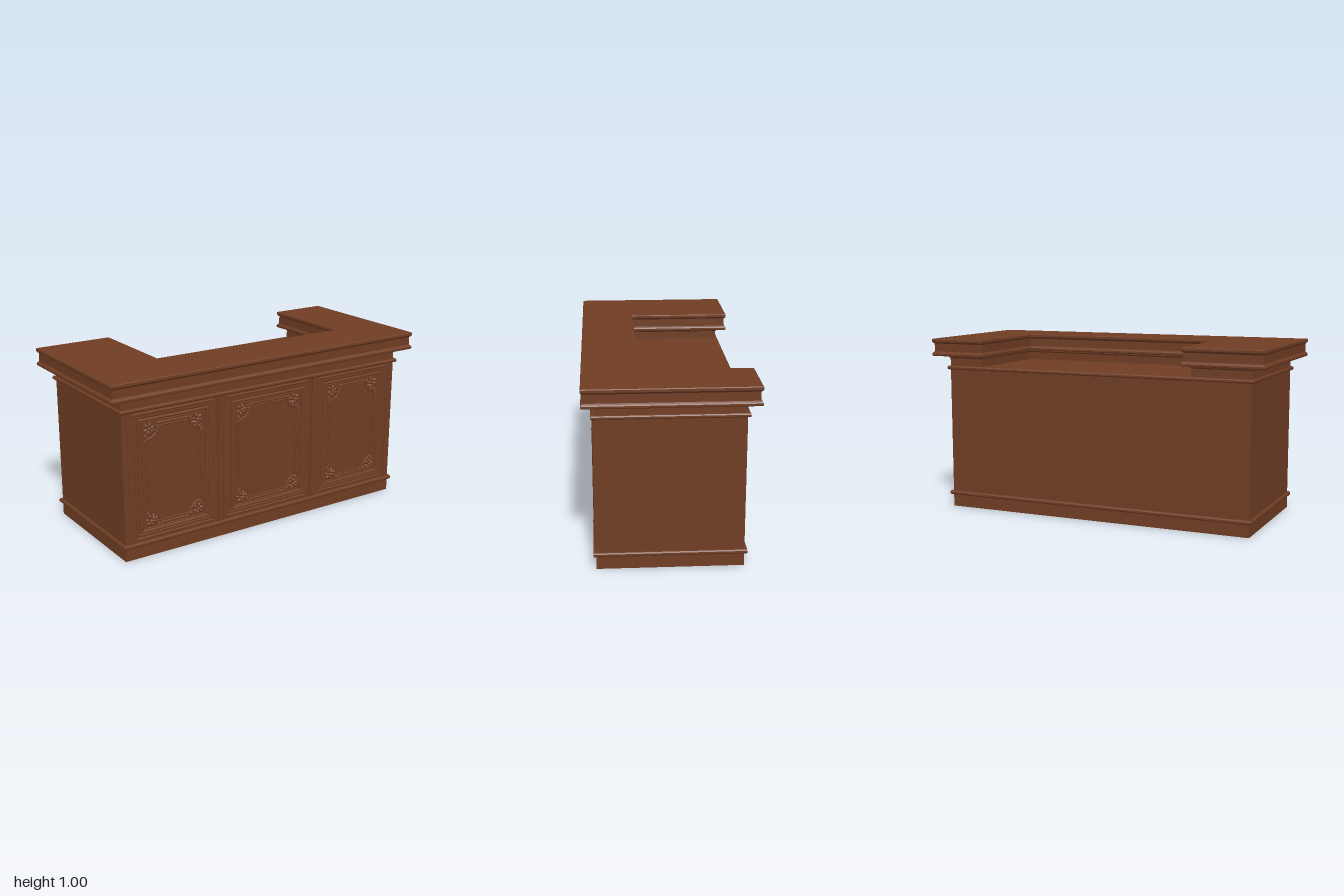
import * as THREE from 'three';

const wood = new THREE.MeshStandardMaterial({ color: 0x6f3d23 });
wood.name = 'brownWood';

// Plan outlines as [x, z] corners, counter-clockwise seen from above
const rect = (hx, hz) => d => [
  [hx - d, hz - d], [hx - d, -hz + d], [-hx + d, -hz + d], [-hx + d, hz - d],
];
const uShape = (hx, hz, innerRight, innerLeft, innerFront) => d => [
  [hx - d, hz - d], [hx - d, -hz + d], [innerRight + d, -hz + d], [innerRight + d, innerFront + d],
  [innerLeft - d, innerFront + d], [innerLeft - d, -hz + d], [-hx + d, -hz + d], [-hx + d, hz - d],
];

// Sweeps a profile of [inset, height] points around an outline
function sweep(outline, profile, capped) {
  const rings = profile.map(([d, h]) => outline(d).map(([x, z]) => [x, h, z]));
  const pos = [];
  const tri = (a, b, c) => pos.push(...a, ...b, ...c);
  for (let k = 0; k < rings.length - 1; k++) {
    const lo = rings[k], hi = rings[k + 1];
    for (let i = 0; i < lo.length; i++) {
      const j = (i + 1) % lo.length;
      tri(lo[i], lo[j], hi[j]);
      tri(lo[i], hi[j], hi[i]);
    }
  }
  if (capped) {
    const lo = rings[0], hi = rings[rings.length - 1];
    const flat = ring => ring.map(p => new THREE.Vector2(p[0], -p[2]));
    for (const [a, b, c] of THREE.ShapeUtils.triangulateShape(flat(hi), [])) tri(hi[a], hi[b], hi[c]);
    for (const [a, b, c] of THREE.ShapeUtils.triangulateShape(flat(lo), [])) tri(lo[c], lo[b], lo[a]);
  }
  const geo = new THREE.BufferGeometry();
  geo.setAttribute('position', new THREE.Float32BufferAttribute(pos, 3));
  geo.computeVertexNormals();
  return geo;
}

function add(parent, name, geo, x = 0, y = 0, z = 0) {
  const mesh = new THREE.Mesh(geo, wood);
  mesh.name = name;
  mesh.position.set(x, y, z);
  parent.add(mesh);
  return mesh;
}

// Half-round moulding profile, running over the top edge from outside to inside
function ridge(start, width, height) {
  const points = [];
  for (let i = 0; i <= 6; i++) {
    const a = Math.PI * i / 6;
    points.push([start + width * (1 - Math.cos(a)) / 2, height * Math.sin(a)]);
  }
  return points;
}

const FACE = 0.385;
const blob = new THREE.SphereGeometry(1, 10, 8);

function addBlob(parent, name, x, y, rx, ry, rz, turn = 0) {
  const mesh = add(parent, name, blob, x, y, 0);
  mesh.scale.set(rx, ry, rz);
  mesh.rotation.z = turn;
}

// Carved corner: a flower with scrolls and leaves along both edges
function cornerOrnament() {
  const g = new THREE.Group();
  g.name = 'cornerOrnament';
  const c = -0.03;
  addBlob(g, 'flowerCentre', c, c, 0.011, 0.011, 0.015);
  for (let i = 0; i < 6; i++) {
    const a = i * Math.PI / 3 + Math.PI / 4;
    addBlob(g, 'petal', c + 0.021 * Math.cos(a), c + 0.021 * Math.sin(a), 0.014, 0.009, 0.011, a);
  }
  const scroll = new THREE.TorusGeometry(0.013, 0.004, 6, 16, Math.PI * 1.6);
  for (const swap of [false, true]) {
    const at = (x, y) => swap ? [y, x] : [x, y];
    const turn = swap ? Math.PI / 2 : 0;
    add(g, 'scroll', scroll, ...at(-0.072, -0.014), 0.005).rotation.z = turn;
    addBlob(g, 'bud', ...at(-0.072, -0.014), 0.006, 0.006, 0.01);
    addBlob(g, 'leaf', ...at(-0.1, -0.006), 0.02, 0.007, 0.009, turn);
    addBlob(g, 'leaf', ...at(-0.06, -0.042), 0.014, 0.006, 0.009, swap ? 0.9 : 0.67);
  }
  // Scooped inner border around the flower
  const scoop = add(g, 'cornerScoop', new THREE.TorusGeometry(0.07, 0.004, 6, 14, Math.PI / 2), -0.014, -0.014, 0.002);
  scoop.rotation.z = Math.PI;
  return g;
}

// Framed panel with a carved inner border
function panel(name, x0, x1) {
  const g = new THREE.Group();
  g.name = name;
  const y0 = 0.105, y1 = 0.812;
  const hx = (x1 - x0) / 2, hy = (y1 - y0) / 2;
  g.position.set((x0 + x1) / 2, (y0 + y1) / 2, FACE);

  const frames = [
    ['outerFrame', ridge(0, 0.014, 0.008)],
    ['frameStep', [[0.014, 0], [0.014, 0.004], [0.03, 0.004], [0.034, 0]]],
    ['innerFrame', ridge(0.034, 0.018, 0.011)],
    ['innerLip', ridge(0.053, 0.007, 0.005)],
  ];
  for (const [part, profile] of frames) {
    add(g, part, sweep(rect(hx, hy), profile, false)).rotation.x = Math.PI / 2;
  }

  // Thin rods between the carved corners
  const bx = hx - 0.072, by = hy - 0.066;
  for (const s of [-1, 1]) {
    for (const [inset, r, gap] of [[0.006, 0.006, 0.105], [0.021, 0.004, 0.085]]) {
      const across = add(g, 'borderRod', new THREE.CylinderGeometry(r, r, 2 * (bx - gap), 8), 0, s * (by - inset), 0.002);
      across.rotation.z = Math.PI / 2;
      add(g, 'borderRod', new THREE.CylinderGeometry(r, r, 2 * (by - gap), 8), s * (bx - inset), 0, 0.002);
    }
  }
  [[1, 1], [-1, 1], [-1, -1], [1, -1]].forEach(([sx, sy], i) => {
    const corner = cornerOrnament();
    corner.position.set(sx * bx, sy * by, 0);
    corner.rotation.z = i * Math.PI / 2;
    g.add(corner);
  });
  return g;
}

export function createModel() {
  const model = new THREE.Group();
  model.name = 'receptionCounter';

  // Body, whose top is the lower work surface
  add(model, 'body', new THREE.BoxGeometry(1.83, 0.838, FACE * 2), 0, 0.419, 0);

  // Rounded bands around the foot and under the neck
  const band = (y, h) => [
    [0.015, y], [0.004, y], [0, y + h * 0.25], [0, y + h * 0.7], [0.004, y + h], [0.015, y + h],
  ];
  add(model, 'footBand', sweep(rect(0.93, 0.4), band(0.072, 0.022), true));
  add(model, 'topBand', sweep(rect(0.93, 0.4), band(0.82, 0.02), true));

  // Neck carrying the raised counter, open at the back
  add(model, 'neck', sweep(uShape(0.915, FACE, 0.7, -0.58, 0.175),
    [[0, 0.83], [0, 0.885], [-0.006, 0.892], [-0.006, 0.905]], true));

  // Raised counter top with a grooved edge
  add(model, 'counterTop', sweep(uShape(1, 0.447, 0.665, -0.545, 0.14), [
    [0.004, 0.9], [0, 0.904], [0, 0.914], [0.004, 0.92], [0.011, 0.926], [0.011, 0.972],
    [0.005, 0.978], [0, 0.983], [0, 0.996], [0.004, 1],
  ], true));

  // Front panels
  model.add(panel('rightPanel', -0.86, -0.362));
  model.add(panel('middlePanel', -0.283, 0.283));
  model.add(panel('leftPanel', 0.35, 0.86));

  // Upright mouldings between the panels and at the corners
  for (const s of [-1, 1]) {
    for (const [x, w, d] of [[0.318, 0.026, 0.008], [0.298, 0.006, 0.004], [0.338, 0.006, 0.004], [0.88, 0.012, 0.005]]) {
      add(model, 'uprightMoulding', new THREE.BoxGeometry(w, 0.726, d), s * x, 0.457, FACE + d / 2);
    }
  }
  return model;
}
